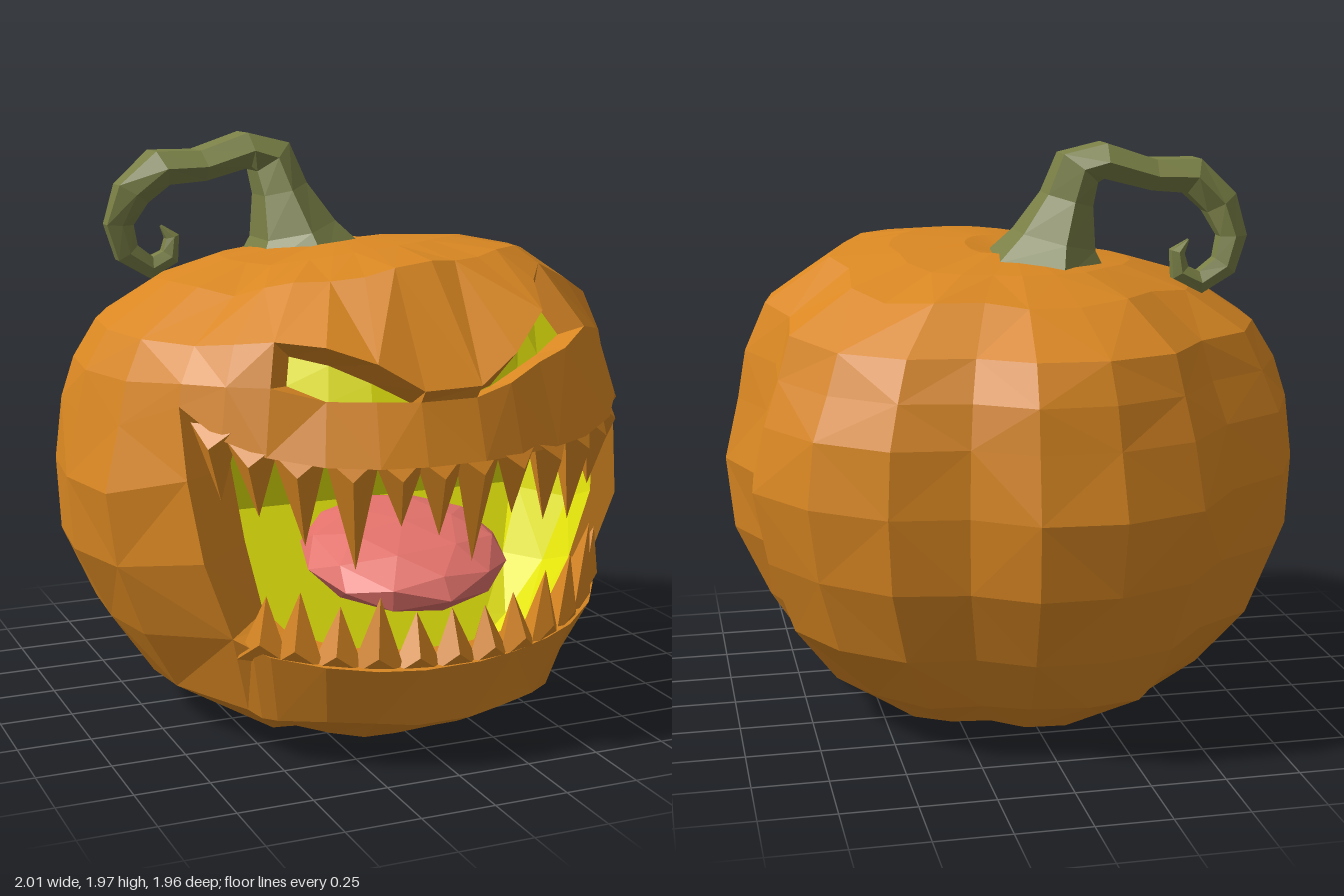
import * as THREE from 'three';
import { ConvexGeometry } from 'three/addons/geometries/ConvexGeometry.js';

const rad = THREE.MathUtils.degToRad;
const clamp = THREE.MathUtils.clamp;

// Piecewise-linear lookup through [input, output] pairs
function lookup(table, v) {
  if (v <= table[0][0]) return table[0][1];
  for (let i = 1; i < table.length; i++) {
    const [a, p] = table[i - 1], [b, q] = table[i];
    if (v <= b) return p + (q - p) * (v - a) / (b - a);
  }
  return table[table.length - 1][1];
}

const bump = (angle, centre, width) => {
  const d = ((angle - centre + 540) % 360 + 360) % 360 - 180;
  return Math.exp(-((d / width) ** 2));
};

// Pumpkin profile: height to radius
const PROFILE = [[0.02, 0.3], [0.05, 0.53], [0.16, 0.71], [0.36, 0.87], [0.6, 0.98], [0.87, 1.02],
  [1.14, 0.97], [1.36, 0.88], [1.5, 0.67], [1.58, 0.42], [1.62, 0.16]];
const MOUTH = [-55, 69];

// Point on the skin; angle in degrees runs from the front (+z) toward +x
function skin(angle, y, scale = 1, radius = lookup(PROFILE, y)) {
  const a = rad(angle), front = Math.max(0, Math.cos(a)), back = Math.max(0, -Math.cos(a));
  const full = Math.min(1, radius * 1.4);
  let r = radius;
  // grooves between the lobes
  r *= 1 - full * 0.1 * (bump(angle, -136, 11) + bump(angle, 160, 11) + bump(angle, 96, 9));
  r *= 1 - 0.025 * front - 0.035 * back;
  if (radius > 0) r += 0.2 * front * front * clamp((0.55 - y) / 0.35, 0, 1) * full;
  // forehead rises toward the front left
  const lift = 0.18 * radius * Math.max(0, Math.cos(a - rad(35))) * clamp((y - 1.15) / 0.35, 0, 1);
  return new THREE.Vector3(Math.sin(a) * r * scale, y + lift, Math.cos(a) * r * scale);
}

const mouthU = (angle) => Math.abs(angle) / (angle < 0 ? -MOUTH[0] : MOUTH[1]);
const upperLip = (angle) => 1.03 + 0.16 * mouthU(angle) ** 4;
const lowerLip = (angle) => 0.37 + 0.08 * mouthU(angle) ** 2;
const EYE_LOW = [[-55, 1.26], [-36, 1.25], [-25, 1.21], [-6, 1.2], [6, 1.2], [15, 1.22], [25, 1.25], [34, 1.27], [47, 1.3], [58, 1.28], [69, 1.26]];
const EYE_HIGH = [[-55, 1.37], [-36, 1.37], [-25, 1.35], [-15, 1.3], [-6, 1.23], [6, 1.23], [15, 1.29], [25, 1.37], [34, 1.43], [47, 1.46], [58, 1.41], [69, 1.36]];
// How far the underside of the brow closes the back of each socket
const BROW_DROP = [[-36, 0.3], [-25, 0.3], [-15, 0.45], [-6, 0.9], [6, 1], [15, 0.97], [25, 0.75], [34, 0.4], [47, 0.4]];

// Unindexed geometry, so every facet is flat
function facets(list) {
  const g = new THREE.BufferGeometry().setFromPoints(list);
  g.computeVertexNormals();
  return g;
}
const quad = (out, a, b, c, d) => out.push(a, b, c, a, c, d);

function buildShells() {
  const cols = [-55, -45, -36, -25, -15, -6, 6, 15, 25, 34, 47, 58, 69, 82, 96, 111, 128, 145, 160, 174, 190, 207, 224, 240, 257, 274, 290];
  const n = cols.length;
  const outer = [], inner = [];
  cols.forEach((angle, i) => {
    const inMouth = angle <= MOUTH[1];
    const low = inMouth ? lowerLip(angle) : 0.38;
    const high = inMouth ? upperLip(angle) : 1.1;
    const rows = [0.08, 0.02, 0.05, 0.17, low, low + (high - low) * 0.35, low + (high - low) * 0.7, high,
      inMouth ? lookup(EYE_LOW, angle) : 1.24, inMouth ? lookup(EYE_HIGH, angle) : 1.37, 1.51, 1.58, 1.62, 1.6];
    // wall thickness differs between the two mouth corners
    const thin = 0.87 - 0.14 * bump(angle, -52, 22) + 0.05 * bump(angle, 69, 22);
    const isPole = (j) => j === 0 || j === rows.length - 1;
    const eyeCol = (angle >= -36 && angle <= -6) || (angle >= 6 && angle <= 47);
    // the right mouth corner leans inward toward the lower lip
    const lean = (j) => angle + [11, 5][i] * clamp((7 - j) / 3, 0, 1);
    const turn = (j) => (i < 2 ? lean(j) : angle);
    outer.push(rows.map((y, j) => {
      const uneven = isPole(j) ? 0 : 0.011 * Math.sin(i * 7.3 + j * 4.1);
      const heave = [2, 3, 10].includes(j) ? 0.01 * Math.sin(i * 4.7 + j * 2.3) : 0;
      const brow = j === 9 && Math.abs(angle) <= 25 ? 0.035 : 0;
      const crease = j === 8 && Math.abs(angle) <= 25 ? 0.03 : 0;
      return skin(turn(j), y, 1 + uneven + brow - crease, isPole(j) ? 0 : undefined).add(new THREE.Vector3(0, heave, 0));
    }));
    const cavity = rows.map((y, j) => {
      const p = skin(turn(j), y, thin, isPole(j) ? 0 : undefined);
      p.y = 0.8 + (p.y - 0.8) * 0.94;
      // back wall folds forward above and below the throat
      p.z = Math.max(p.z, -0.2 + 0.55 * Math.abs(p.y - 0.7));
      return p;
    });
    if (eyeCol) cavity[9].lerp(cavity[8], lookup(BROW_DROP, angle));
    inner.push(cavity);
  });
  const isMouth = (i, j) => i < 12 && j >= 4 && j < 7;
  const isEye = (i, j) => j === 8 && ((i >= 2 && i < 5) || (i >= 6 && i < 10));
  const isHole = (i, j) => isMouth(i, j) || isEye(i, j);
  const rind = [], lining = [];
  for (let i = 0; i < n; i++) {
    const k = (i + 1) % n, prev = (i + n - 1) % n;
    for (let j = 0; j < outer[0].length - 1; j++) {
      const ids = [[i, j], [k, j], [k, j + 1], [i, j + 1]];
      const o = ids.map(([a, b]) => outer[a][b]), q = ids.map(([a, b]) => inner[a][b]);
      if (!isMouth(i, j)) quad(lining, q[0], q[3], q[2], q[1]);
      if (!isHole(i, j)) {
        if ((i + j) % 2) quad(rind, ...o);
        else quad(rind, o[1], o[2], o[3], o[0]);
        continue;
      }
      // thick cut edges around the openings
      [[i, j - 1], [k, j], [i, j + 1], [prev, j]].forEach(([a, b], e) => {
        const f = (e + 1) % 4;
        if (!isHole(a, b)) quad(rind, o[e], o[f], q[f], q[e]);
      });
    }
  }
  return { rind: facets(rind), lining: facets(lining) };
}

// Pyramid fang growing from a lip; dir is 1 for up, -1 for down
function tooth(angle, base, tip, dir) {
  const root = base - dir * 0.03, half = dir > 0 ? 5.8 : 5.2;
  return new ConvexGeometry([
    skin(angle - half, root, 0.98), skin(angle + half, root, 0.98),
    skin(angle, base + dir * 0.04, 1.01), skin(angle, base, 0.87),
    skin(angle + 0.8, tip, dir > 0 ? 0.94 : 0.92),
  ]);
}

// Curled stem: x, y, z, in-plane radius, z radius
function buildStem() {
  const path = [[-0.11, 1.56, -0.1, 0.21, 0.26], [-0.13, 1.66, -0.11, 0.135, 0.19], [-0.17, 1.8, -0.13, 0.085, 0.13],
    [-0.2, 1.91, -0.16, 0.08, 0.11], [-0.28, 1.935, -0.18, 0.062, 0.115], [-0.45, 1.885, -0.18, 0.055, 0.12],
    [-0.59, 1.88, -0.19, 0.065, 0.11], [-0.68, 1.79, -0.23, 0.062, 0.08], [-0.715, 1.68, -0.27, 0.05, 0.055],
    [-0.685, 1.58, -0.28, 0.045, 0.05], [-0.6, 1.525, -0.28, 0.04, 0.045], [-0.53, 1.56, -0.28, 0.035, 0.04],
    [-0.52, 1.63, -0.28, 0.025, 0.035], [-0.56, 1.67, -0.28, 0.004, 0.004]];
  const sides = 6;
  const rings = path.map(([x, y, z, rn, rz], i) => {
    const a = path[Math.max(0, i - 1)], b = path[Math.min(path.length - 1, i + 1)];
    const t = new THREE.Vector2(b[0] - a[0], b[1] - a[1]).normalize();
    return Array.from({ length: sides }, (_, s) => {
      const w = (s + 0.5) / sides * Math.PI * 2, c = Math.cos(w) * rn * 1.1;
      return new THREE.Vector3(x - t.y * c, y + t.x * c, z + Math.sin(w) * rz);
    });
  });
  const out = [];
  for (let i = 0; i < rings.length - 1; i++) {
    for (let s = 0; s < sides; s++) {
      const e = (s + 1) % sides;
      quad(out, rings[i][s], rings[i][e], rings[i + 1][e], rings[i + 1][s]);
    }
  }
  return facets(out);
}

export function createModel() {
  const model = new THREE.Group();
  model.name = 'carvedPumpkin';
  const material = (name, color, side = THREE.FrontSide) => {
    const m = new THREE.MeshStandardMaterial({ color, side });
    m.name = name;
    return m;
  };
  const orange = material('orange rind', 0xd98722);
  const yellow = material('yellow flesh', 0xe6e60c, THREE.DoubleSide);
  const pink = material('pink tongue', 0xe2716a);
  const green = material('green stem', 0x7a8046);
  const add = (parent, name, geometry, mat) => {
    const mesh = new THREE.Mesh(geometry, mat);
    mesh.name = name;
    parent.add(mesh);
  };

  const { rind, lining } = buildShells();
  add(model, 'rind', rind, orange);
  add(model, 'innerFlesh', lining, yellow);

  // Rows of fangs: [angle, tip height]
  const upper = [[-47, 0.9], [-39, 0.86], [-30, 0.77], [-20, 0.69], [-11, 0.83], [-3, 0.79], [5, 0.69],
    [14, 0.83], [24, 0.78], [34, 0.75], [43, 0.84], [52, 0.9], [61, 0.98]];
  const lower = [[-38, 0.6], [-31, 0.62], [-23, 0.57], [-15, 0.6], [-7, 0.54], [1, 0.54],
    [9, 0.53], [17, 0.55], [26, 0.6], [36, 0.62], [46, 0.69], [57, 0.63]];
  const teeth = new THREE.Group();
  teeth.name = 'teeth';
  model.add(teeth);
  upper.forEach(([a, tip]) => add(teeth, 'upperTooth', tooth(a, upperLip(a), tip, -1), orange));
  lower.forEach(([a, tip]) => add(teeth, 'lowerTooth', tooth(a, lowerLip(a), tip, 1), orange));

  // Tongue
  const tongue = new THREE.IcosahedronGeometry(1, 1);
  tongue.scale(0.35, 0.12, 0.38);
  tongue.rotateX(0.2);
  tongue.rotateZ(0.08);
  tongue.translate(0.08, 0.59, 0.38);
  tongue.computeVertexNormals();
  add(model, 'tongue', tongue, pink);

  add(model, 'stem', buildStem(), green);
  return model;
}
